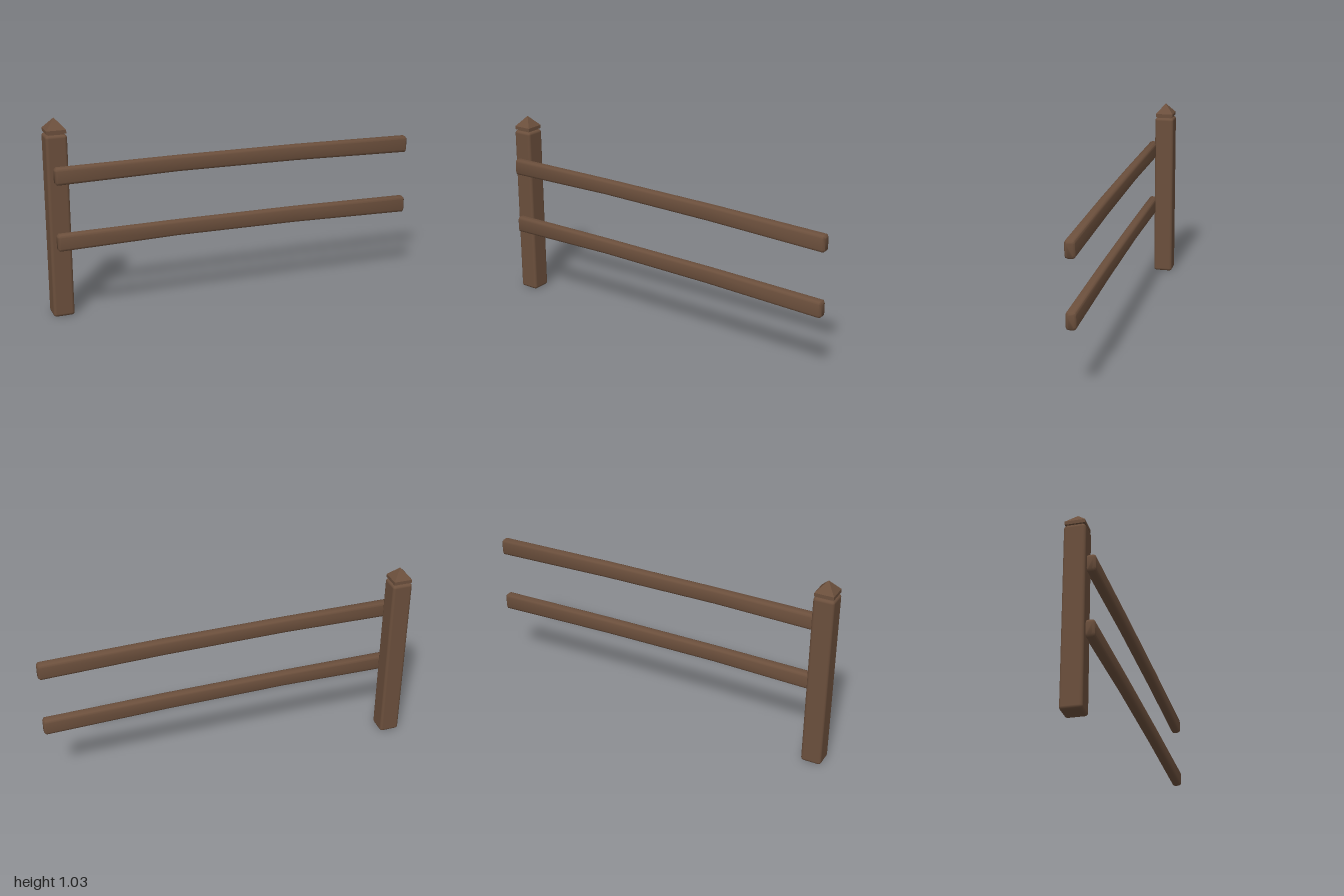
import * as THREE from 'three';
import { toCreasedNormals } from 'three/addons/utils/BufferGeometryUtils.js';
import { RoundedBoxGeometry } from 'three/addons/geometries/RoundedBoxGeometry.js';

const POST_X = -0.945, POST_Z = -0.02;

// Rounded rectangle outline as [z, y], counter-clockwise seen from +x with z to the left
function outline(z0, z1, y0, y1, r, steps = 2) {
  const points = [];
  const corners = [[z1 - r, y1 - r], [z0 + r, y1 - r], [z0 + r, y0 + r], [z1 - r, y0 + r]];
  corners.forEach(([cz, cy], i) => {
    for (let s = 0; s <= steps; s++) {
      const a = (i + s / steps) * Math.PI / 2;
      points.push([cz + r * Math.cos(a), cy + r * Math.sin(a)]);
    }
  });
  return points;
}

// Gently sagging rail lofted along x; stations are [x, bottom, top, inset]
function railGeometry(lift) {
  const stations = [
    [-0.97, 0.709, 0.798, 0.01], [-0.96, 0.709, 0.798, 0],
    [-0.33, 0.72, 0.801, 0], [0.33, 0.714, 0.798, 0],
    [0.985, 0.697, 0.787, 0], [0.995, 0.697, 0.787, 0.01],
  ];
  const positions = [], index = [];
  let n = 0;
  for (const [x, bottom, top, inset] of stations) {
    const ring = outline(0.027 + inset, 0.078 - inset, bottom + lift + inset, top + lift - inset, 0.014 - inset * 0.6);
    n = ring.length;
    for (const [z, y] of ring) positions.push(x, y, z);
  }
  for (let s = 0; s < stations.length - 1; s++) {
    for (let i = 0; i < n; i++) {
      const a = s * n + i, b = s * n + (i + 1) % n;
      index.push(a, b, a + n, b, b + n, a + n);
    }
  }
  // End faces
  const last = (stations.length - 1) * n;
  for (let i = 1; i < n - 1; i++) {
    index.push(0, i + 1, i);
    index.push(last, last + i, last + i + 1);
  }
  // The outline runs clockwise seen from +x, so flip every triangle
  for (let i = 0; i < index.length; i += 3) [index[i + 1], index[i + 2]] = [index[i + 2], index[i + 1]];
  const geometry = new THREE.BufferGeometry();
  geometry.setAttribute('position', new THREE.Float32BufferAttribute(positions, 3));
  geometry.setIndex(index);
  return toCreasedNormals(geometry, 0.85);
}

export function createModel() {
  const group = new THREE.Group();
  const wood = new THREE.MeshStandardMaterial({ color: 0x6b4f3c });
  wood.name = 'brown wood';

  const add = (name, geometry, x = 0, y = 0, z = 0) => {
    const mesh = new THREE.Mesh(geometry, wood);
    mesh.name = name;
    mesh.position.set(x, y, z);
    group.add(mesh);
  };

  // Square post with softened edges
  add('post', new RoundedBoxGeometry(0.11, 0.955, 0.11, 2, 0.016), POST_X, 0.4775, POST_Z);

  // Cap: narrow neck, square slab and pyramid point
  add('capNeck', new THREE.BoxGeometry(0.08, 0.02, 0.08), POST_X, 0.955, POST_Z);
  add('capSlab', new THREE.BoxGeometry(0.1, 0.018, 0.1), POST_X, 0.97, POST_Z);
  const point = new THREE.ConeGeometry(0.05 * Math.SQRT2, 0.056, 4).rotateY(Math.PI / 4);
  add('capPoint', toCreasedNormals(point, 0.3), POST_X, 1.007, POST_Z);

  // Two matching rails on the front of the post
  add('upperRail', railGeometry(0));
  add('lowerRail', railGeometry(-0.345));

  return group;
}
